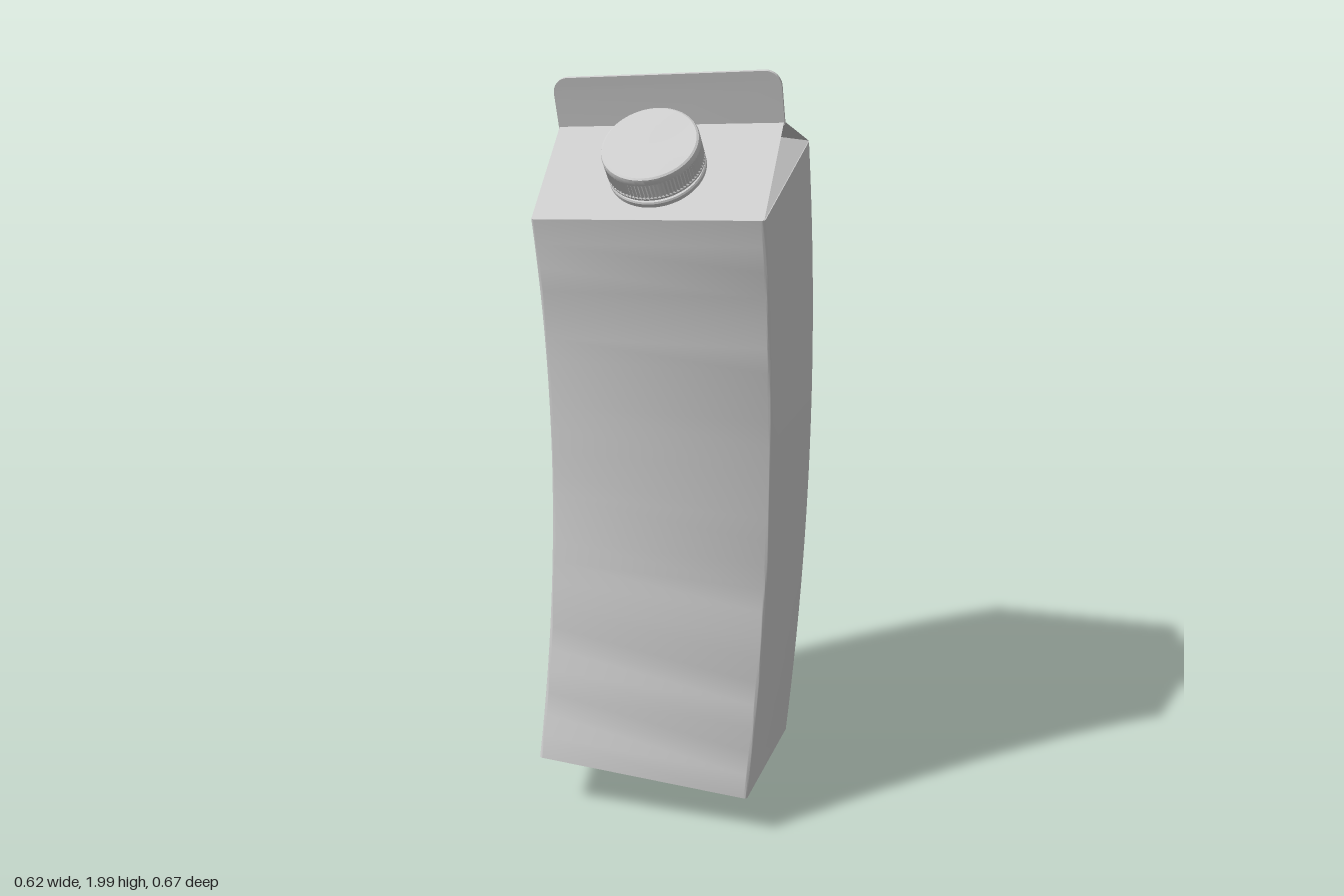
import * as THREE from 'three';
import { toCreasedNormals } from 'three/addons/utils/BufferGeometryUtils.js';

const HALF = 0.2925;      // half width and half depth of the carton
const BASE = 0.08;        // height of the base along the bent axis
const EAVE = 1.712;       // where the walls meet the roof
const RIDGE = 1.855;      // where the roof meets the top seam
const SEAM_TOP = 1.98;

// Bends a straight part along the leaning, curved axis of the carton
function bend(geometry, crease = 0.6) {
  const pos = geometry.attributes.position;
  const p = new THREE.Vector3();
  for (let i = 0; i < pos.count; i++) {
    const u = pos.getX(i), s = pos.getY(i), v = pos.getZ(i);
    const dx = -0.072 * (s - 1), dz = 0.214 * (s - 1.005);
    const across = new THREE.Vector3(1, -dx, 0).normalize();
    const deep = new THREE.Vector3(0, -dz, 1).normalize();
    p.set(0.0125 - 0.036 * (s - 1) ** 2, s, -0.0415 + 0.107 * (s - 1.005) ** 2);
    p.addScaledVector(across, u).addScaledVector(deep, v);
    pos.setXYZ(i, p.x, p.y, p.z);
  }
  return toCreasedNormals(geometry, crease);
}

// Rectangle with separate corner radii at the bottom and the top
function roundedRect(x0, y0, x1, y1, rBottom, rTop) {
  const s = new THREE.Shape();
  s.moveTo(x0 + rBottom, y0);
  s.lineTo(x1 - rBottom, y0);
  if (rBottom) s.absarc(x1 - rBottom, y0 + rBottom, rBottom, -Math.PI / 2, 0);
  s.lineTo(x1, y1 - rTop);
  s.absarc(x1 - rTop, y1 - rTop, rTop, 0, Math.PI / 2);
  s.lineTo(x0 + rTop, y1);
  s.absarc(x0 + rTop, y1 - rTop, rTop, Math.PI / 2, Math.PI);
  s.lineTo(x0, y0 + rBottom);
  if (rBottom) s.absarc(x0 + rBottom, y0 + rBottom, rBottom, Math.PI, Math.PI * 1.5);
  return s;
}

// Walls and base: a rounded square drawn upwards in steps
function bodyGeometry() {
  const g = new THREE.ExtrudeGeometry(roundedRect(-HALF, -HALF, HALF, HALF, 0.01, 0.01), {
    depth: EAVE - BASE, steps: 24, curveSegments: 4, bevelEnabled: false,
  });
  g.rotateX(-Math.PI / 2).translate(0, BASE, 0);
  return bend(g);
}

// Two sloping panels, with the gable ends folded inwards beneath them
function roofGeometry() {
  const h = HALF - 0.002, fold = 0.2;
  const points = [], faces = [];
  for (const side of [-1, 1]) {
    points.push(
      side * h, EAVE, h,              // front eave
      side * h, EAVE, -h,             // back eave
      side * h, RIDGE, 0,             // end of the ridge
      side * (h - fold), RIDGE - 0.012, 0, // folded-in tip
    );
  }
  faces.push(0, 4, 6, 0, 6, 2);       // front panel
  faces.push(5, 1, 2, 5, 2, 6);       // back panel
  faces.push(4, 5, 7, 1, 0, 3);       // gable triangles
  faces.push(4, 7, 6, 7, 5, 6);       // left folds
  faces.push(3, 0, 2, 1, 3, 2);       // right folds
  const g = new THREE.BufferGeometry();
  g.setAttribute('position', new THREE.Float32BufferAttribute(points, 3));
  g.setIndex(faces);
  return bend(g, 0.1);
}

// Upright sealed strip along the ridge
function seamGeometry() {
  const g = new THREE.ExtrudeGeometry(
    roundedRect(-HALF, RIDGE - 0.008, HALF, SEAM_TOP, 0, 0.04),
    { depth: 0.01, curveSegments: 8, bevelEnabled: false },
  );
  g.translate(0, 0, -0.005);
  return bend(g);
}

// Places a turned part on the middle of the front roof panel
function onRoof(profile, segments, knurl) {
  const g = new THREE.LatheGeometry(profile.map(([r, y]) => new THREE.Vector2(r, y)), segments);
  if (knurl) {
    const pos = g.attributes.position, rows = profile.length;
    for (let i = 0; i < pos.count; i++) {
      const column = Math.floor(i / rows), y = pos.getY(i);
      if (column % 2 && y > knurl[0] && y < knurl[1]) {
        pos.setX(i, pos.getX(i) * 0.965);
        pos.setZ(i, pos.getZ(i) * 0.965);
      }
    }
  }
  g.rotateX(Math.atan2(RIDGE - EAVE, HALF));
  g.translate(0, (EAVE + RIDGE) / 2, HALF / 2);
  return bend(g, 0.5);
}

export function createModel() {
  const carton = new THREE.MeshStandardMaterial({ color: 0xcccccc, side: THREE.DoubleSide });
  carton.name = 'plain grey';

  const group = new THREE.Group();
  group.name = 'drinkCarton';
  const add = (name, geometry) => {
    const mesh = new THREE.Mesh(geometry, carton);
    mesh.name = name;
    group.add(mesh);
  };

  add('body', bodyGeometry());
  add('gableRoof', roofGeometry());
  add('topSeam', seamGeometry());

  // Flat collar, then the screw cap with its ribbed grip
  add('spoutCollar', onRoof(
    [[0.122, -0.005], [0.122, 0.012], [0.119, 0.016], [0.108, 0.017], [0.108, 0.026]], 64));
  add('screwCap', onRoof(
    [[0, 0.022], [0.118, 0.022], [0.122, 0.026], [0.122, 0.031], [0.122, 0.034],
      [0.122, 0.078], [0.122, 0.081], [0.122, 0.092], [0.12, 0.097], [0.115, 0.1], [0, 0.1]],
    160, [0.033, 0.079]));

  return group;
}
